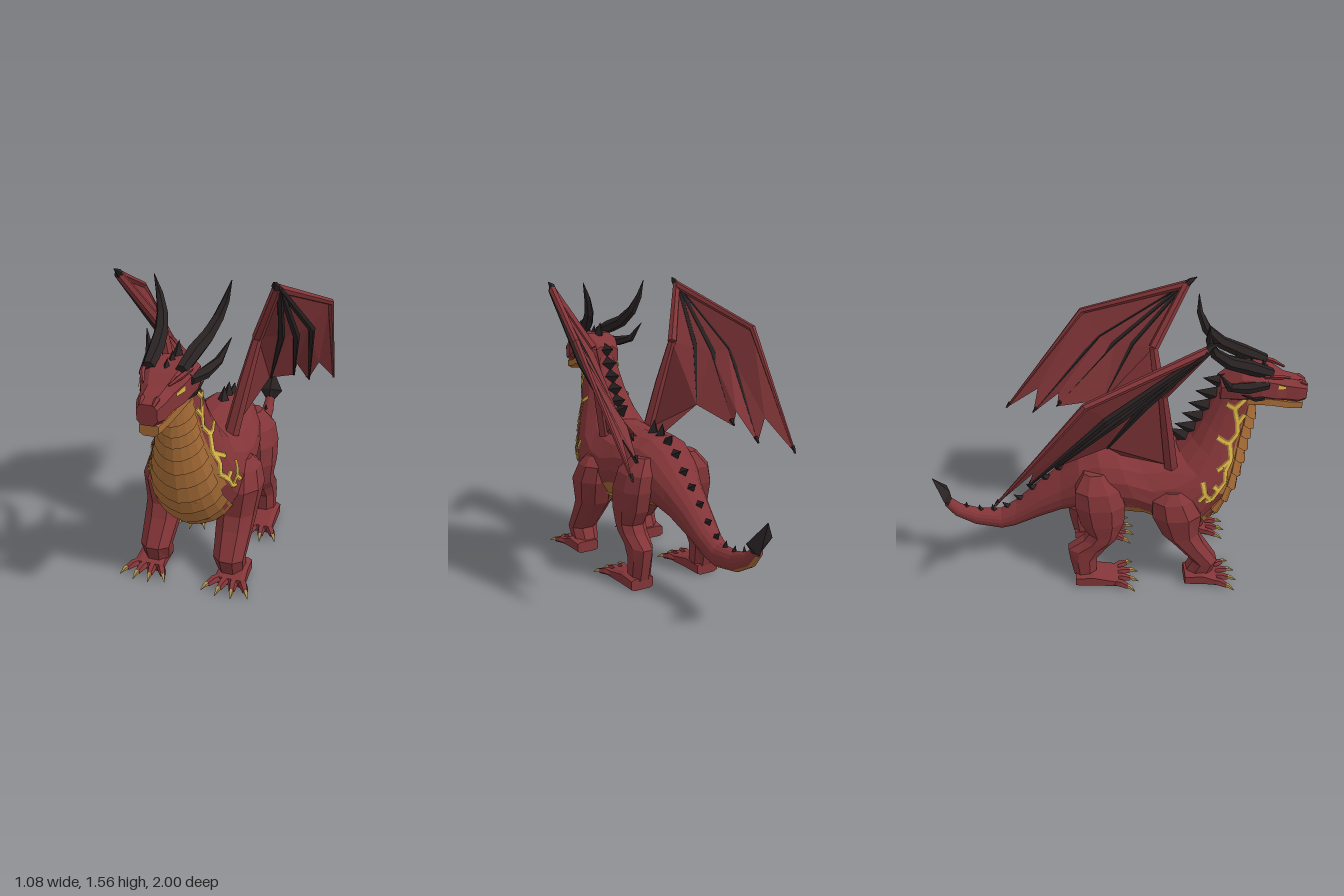
import * as THREE from 'three';

const mat = (name, color, side = THREE.FrontSide) => {
  const m = new THREE.MeshStandardMaterial({ color, side, flatShading: true });
  m.name = name;
  return m;
};
const V = (x, y, z) => new THREE.Vector3(x, y, z);
const lerp = THREE.MathUtils.lerp;

// Body sections from neck to tail: top z, top y, bottom z, bottom y, half width
const SECTIONS = [
  [0.56, 1.17, 0.74, 1.03, 0.09], [0.505, 1.055, 0.73, 0.92, 0.107], [0.455, 0.95, 0.71, 0.80, 0.13],
  [0.40, 0.85, 0.69, 0.65, 0.175], [0.33, 0.78, 0.65, 0.48, 0.22], [0.20, 0.77, 0.55, 0.33, 0.25],
  [0.10, 0.77, 0.40, 0.27, 0.25], [0.0, 0.78, 0.18, 0.37, 0.23], [-0.10, 0.78, 0.0, 0.38, 0.20],
  [-0.20, 0.73, -0.18, 0.40, 0.16], [-0.30, 0.63, -0.30, 0.37, 0.12], [-0.42, 0.53, -0.44, 0.31, 0.09],
  [-0.55, 0.41, -0.57, 0.25, 0.066], [-0.64, 0.355, -0.64, 0.235, 0.055], [-0.76, 0.36, -0.79, 0.265, 0.043],
  [-0.86, 0.395, -0.90, 0.33, 0.036], [-0.91, 0.44, -0.95, 0.40, 0.028],
];
const SIDES = 16;

// Point on the faceted body at section t and angle a (0 = spine), lifted by off
function bodyPoint(t, a, off = 0) {
  const i = Math.min(Math.floor(t), SECTIONS.length - 2);
  const [tz, ty, bz, by, w] = SECTIONS[i].map((v, k) => lerp(v, SECTIONS[i + 1][k], t - i));
  const step = (Math.PI * 2) / SIDES, k = Math.floor(a / step + 1e-6), f = a / step - k;
  const s = lerp(Math.sin(k * step), Math.sin((k + 1) * step), f);
  const c = lerp(Math.cos(k * step), Math.cos((k + 1) * step), f);
  const up = V(0, ty - by, tz - bz).multiplyScalar(0.5);
  return V(s * w, (ty + by) / 2, (tz + bz) / 2).addScaledVector(up, c)
    .addScaledVector(up.clone().normalize(), c * off).add(V(s * off, 0, 0));
}

// Surface point of the body flank seen at (z, y)
function flankPoint(z, y, off) {
  let best = [1, 3, 1.5];
  for (let pass = 0, r = [3, 1.2]; pass < 3; pass++, r = r.map(v => v / 7)) {
    const [, t0, a0] = best;
    for (let i = -12; i <= 12; i++) for (let j = -12; j <= 12; j++) {
      const t = Math.max(0, t0 + (i / 12) * r[0]), a = a0 + (j / 12) * r[1];
      const p = bodyPoint(t, a), d = Math.hypot(p.z - z, p.y - y);
      if (d < best[0]) best = [d, t, a];
    }
  }
  return bodyPoint(best[1], best[2], off);
}

// Closed, capped skin over rings of points, always facing outward
function loft(parent, name, rings, material, pick = () => 0) {
  const mats = [].concat(material), lists = mats.map(() => []), n = rings[0].length, last = rings.length - 1;
  for (let i = 0; i < last; i++) for (let k = 0; k < n; k++) {
    const a = rings[i][k], b = rings[i][(k + 1) % n], c = rings[i + 1][(k + 1) % n], d = rings[i + 1][k];
    lists[pick(i, k)].push([a, b, c], [a, c, d]);
  }
  for (let k = 1; k < n - 1; k++) {
    lists[0].push([rings[0][0], rings[0][k + 1], rings[0][k]], [rings[last][0], rings[last][k], rings[last][k + 1]]);
  }
  const volume = lists.flat().reduce((s, [a, b, c]) => s + a.dot(b.clone().cross(c)), 0);
  const geo = new THREE.BufferGeometry(), pos = [];
  lists.forEach((list, g) => {
    geo.addGroup(pos.length / 3, list.length * 3, g);
    for (const [a, b, c] of list) for (const p of volume < 0 ? [a, c, b] : [a, b, c]) pos.push(p.x, p.y, p.z);
  });
  return addMesh(parent, name, geo, pos, mats.length > 1 ? mats : mats[0]);
}
function addMesh(parent, name, geo, pos, material) {
  geo.setAttribute('position', new THREE.Float32BufferAttribute(pos, 3));
  geo.computeVertexNormals();
  const mesh = new THREE.Mesh(geo, material);
  mesh.name = name;
  parent.add(mesh);
  return mesh;
}

// Tapering limb, horn or bone along points
function taper(parent, name, pts, radii, material, sides = 6) {
  const rings = pts.map((p, i) => {
    const t = pts[Math.min(i + 1, pts.length - 1)].clone().sub(pts[Math.max(i - 1, 0)]).normalize();
    const u = t.clone().cross(V(1, 0, 0.01)).normalize(), v = t.clone().cross(u);
    return Array.from({ length: sides }, (_, k) => {
      const a = ((k + 0.5) / sides) * Math.PI * 2;
      return p.clone().addScaledVector(u, Math.cos(a) * radii[i]).addScaledVector(v, Math.sin(a) * radii[i]);
    });
  });
  return loft(parent, name, rings, material);
}

// Chamfered rectangle as eight 2D points
function octagon(u0, u1, v0, v1, c = 0.28) {
  const du = (u1 - u0) * c, dv = (v1 - v0) * c;
  return [[u0 + du, v0], [u1 - du, v0], [u1, v0 + dv], [u1, v1 - dv], [u1 - du, v1], [u0 + du, v1], [u0, v1 - dv], [u0, v0 + dv]];
}

export function createModel() {
  const dragon = new THREE.Group();
  dragon.name = 'dragon';
  const red = mat('red scales', 0x833538), skin = mat('wing skin', 0x7f3437, THREE.DoubleSide);
  const tan = mat('belly tan', 0xa56b36), black = mat('horn black', 0x292223), claw = mat('claw', 0xae9150);
  const glow = mat('glowing yellow', 0xdcb544, THREE.DoubleSide), rim = mat('crack rim', 0x9a7c38, THREE.DoubleSide);

  // Body, neck and tail in one skin with a tan underside
  const step = (Math.PI * 2) / SIDES;
  const rings = SECTIONS.map((_, i) => Array.from({ length: SIDES }, (_, k) => bodyPoint(i, k * step)));
  const wideBelly = i => i < 4 || (i > 4 && i < 8);
  loft(dragon, 'body', rings, [red, tan], (i, k) => (wideBelly(i) ? k >= 5 && k <= 10 : k >= 6 && k <= 9) ? 1 : 0);

  // Overlapping belly plates
  for (let i = 0; i < 13; i++) {
    const t0 = 0.15 + i * 0.5, t1 = t0 + 0.5, half = lerp(1.12, 0.88, i / 12);
    const plate = Array.from({ length: 9 }, (_, k) => {
      const f = k / 4 - 1, a = Math.PI + f * half, drop = 0.16 * (1 - f * f);
      return [bodyPoint(t0, a, 0.002), bodyPoint(t1 + drop, a, 0.025 - 0.015 * f * f), bodyPoint(t1 + drop, a, -0.01)];
    });
    loft(dragon, 'bellyPlate', plate, tan);
  }

  // Spikes along neck, back and tail
  function spike(p, along, L, h) {
    const t = along.clone().normalize(), n = V(0, -t.z, t.y);
    if (n.y < 0) n.negate();
    p = p.clone().addScaledVector(n, -0.01);
    const base = [t.clone().multiplyScalar(L / 2), V(L * 0.4, 0, 0), t.clone().multiplyScalar(-L / 2), V(-L * 0.4, 0, 0)];
    const tip = p.clone().addScaledVector(n, h).addScaledVector(t, L * 0.3);
    loft(dragon, 'spineSpike', [base.map(b => b.add(p)), base.map(() => tip)], black);
  }
  const spineSpike = (t, L, h) => spike(bodyPoint(t, 0), bodyPoint(t + 0.05, 0).sub(bodyPoint(t - 0.05, 0)), L, h);
  for (let i = 0; i < 6; i++) spineSpike(0.15 + i * 0.65, 0.095, 0.105);
  for (const [z, L] of [[0.77, 0.04], [0.71, 0.055], [0.64, 0.08]]) spike(V(0, 1.235, z), V(0, 0, -1), L, L);
  for (let i = 0, t = 6.9; i < 12; i++) {
    const z = 0.01 - i * 0.076;
    while (t < 15.8 && bodyPoint(t, 0).z > z) t += 0.02;
    spineSpike(t, lerp(0.085, 0.035, i / 11), lerp(0.078, 0.038, i / 11));
  }

  // Tail blade
  const blade = (x, d, y, z) => [V(x, y, z), V(0, y + d * 0.5, z + d), V(-x, y, z), V(0, y - d * 0.5, z - d)];
  loft(dragon, 'tailBlade', [blade(0.022, 0.02, 0.405, -0.925), blade(0.075, 0.026, 0.475, -0.94), blade(0.001, 0.001, 0.58, -1.0)], black);

  // Head and jaw: z, bottom, top, half width
  const headRing = ([z, y0, y1, w]) => octagon(-w, w, y0, y1, 0.22).map(([x, y]) => V(x, y, z));
  loft(dragon, 'head', [[0.995, 1.04, 1.135, 0.048], [0.95, 1.03, 1.16, 0.066], [0.88, 1.045, 1.178, 0.076], [0.82, 1.06, 1.215, 0.108],
    [0.74, 1.085, 1.24, 0.125], [0.64, 1.06, 1.24, 0.112], [0.54, 1.06, 1.17, 0.075]].map(headRing), red);
  loft(dragon, 'jaw', [[0.98, 0.985, 1.045, 0.045], [0.9, 0.995, 1.06, 0.058], [0.8, 1.025, 1.09, 0.08], [0.68, 1.04, 1.1, 0.085]].map(headRing), tan);

  // Wing key points (left side)
  const W = {
    root: [0.14, 0.72, 0.29], elbow: [0.25, 1.22, 0.22], wrist: [0.39, 1.52, 0.40],
    m1: [0.522, 1.32, -0.16], t1: [0.47, 0.74, -0.61], n1: [0.42, 0.89, -0.42],
    m2: [0.435, 1.2, -0.06], t2: [0.355, 0.77, -0.45], n2: [0.325, 0.91, -0.30],
    m3: [0.375, 1.18, 0.02], t3: [0.30, 0.84, -0.31], m4: [0.325, 1.2, 0.12], hem: [0.24, 0.91, -0.05], back: [0.09, 0.76, 0.03],
  };
  const PANELS = ['wrist m1 m2', 'm1 t1 n1', 'm1 n1 m2', 'm2 n1 t2', 'wrist m2 m3', 'm2 t2 n2', 'm2 n2 m3', 'm3 n2 t3',
    'wrist m3 m4', 'm3 t3 hem', 'm3 hem m4', 'wrist m4 elbow', 'elbow m4 hem', 'elbow hem root', 'root hem back'];
  // Glowing cracks on the neck as (z, y) lines
  const CRACKS = [
    [[0.65, 1.13], [0.665, 1.09], [0.615, 1.04], [0.63, 0.97], [0.635, 0.90], [0.595, 0.85], [0.605, 0.76], [0.575, 0.70], [0.58, 0.64], [0.54, 0.60], [0.505, 0.545], [0.47, 0.585], [0.435, 0.55]],
    [[0.615, 1.04], [0.575, 1.06]], [[0.63, 0.95], [0.665, 1.0]], [[0.595, 0.85], [0.57, 0.86], [0.53, 0.885]],
    [[0.605, 0.76], [0.56, 0.73], [0.53, 0.715]], [[0.47, 0.585], [0.455, 0.66]], [[0.54, 0.60], [0.515, 0.63]], [[0.505, 0.545], [0.47, 0.54]],
  ];
  // Legs: y, z back, z front, x inner, x outer
  const FRONT = [[0.61, 0.25, 0.35, 0.16, 0.25], [0.56, 0.19, 0.40, 0.13, 0.29], [0.47, 0.19, 0.45, 0.12, 0.313], [0.33, 0.25, 0.445, 0.10, 0.292],
    [0.26, 0.315, 0.475, 0.105, 0.288], [0.13, 0.425, 0.56, 0.122, 0.278], [0.05, 0.385, 0.535, 0.135, 0.27]];
  const HIND = [[0.69, -0.17, -0.05, 0.08, 0.18], [0.61, -0.22, 0.02, 0.09, 0.25], [0.52, -0.22, 0.045, 0.1, 0.27], [0.41, -0.195, 0.04, 0.1, 0.27],
    [0.33, -0.15, 0.01, 0.115, 0.26], [0.285, -0.18, -0.005, 0.12, 0.257], [0.225, -0.265, -0.06, 0.13, 0.25], [0.16, -0.257, -0.11, 0.137, 0.25], [0.05, -0.235, -0.115, 0.14, 0.25]];

  for (const s of [1, -1]) {
    const side = s > 0 ? 'left' : 'right';
    const group = new THREE.Group();
    group.name = side + 'Side';
    dragon.add(group);
    const P = ([x, y, z]) => V(s * x, y, z);
    const limb = (name, pts, radii, m, sides) => taper(group, side + name, pts.map(P), radii, m, sides);

    // Horns and cheek spikes
    limb('Horn', [[0.078, 1.225, 0.79], [0.09, 1.27, 0.67], [0.112, 1.312, 0.56], [0.138, 1.38, 0.48], [0.164, 1.46, 0.445], [0.19, 1.55, 0.44]], [0.03, 0.038, 0.034, 0.027, 0.018, 0.002], black);
    limb('LowerHorn', [[0.11, 1.18, 0.77], [0.138, 1.178, 0.66], [0.17, 1.205, 0.56], [0.21, 1.3, 0.50]], [0.024, 0.03, 0.022, 0.002], black, 5);
    limb('CheekSpike', [[0.09, 1.095, 0.76], [0.108, 1.10, 0.71], [0.125, 1.13, 0.64]], [0.016, 0.016, 0.002], black, 5);
    // Brow, eye and nostril
    limb('Brow', [[0.06, 1.19, 0.89], [0.09, 1.212, 0.83], [0.11, 1.225, 0.75]], [0.006, 0.013, 0.01], red, 5);
    const eye = [[0.087, 1.136, 0.872], [0.087, 1.152, 0.872], [0.112, 1.177, 0.825], [0.112, 1.148, 0.825]].map(P);
    addMesh(group, side + 'Eye', new THREE.BufferGeometry(), [0, 1, 2, 0, 2, 3].flatMap(i => eye[i].toArray()), glow);
    limb('Nostril', [[0.03, 1.13, 0.995], [0.035, 1.15, 0.96], [0.03, 1.155, 0.92]], [0.008, 0.014, 0.004], red, 5);

    // Wing arm, finger bones on the outer face, claws and skin
    limb('WingArm', [W.root, [0.195, 0.98, 0.255], W.elbow], [0.04, 0.035, 0.025], red);
    limb('WingForearm', [W.elbow, W.wrist], [0.028, 0.022], red);
    limb('LeadingFinger', [W.wrist, W.m1, W.t1], [0.022, 0.018, 0.006], red);
    const outer = ([x, y, z], d) => [x + d, y, z];
    for (const [name, mid, tip] of [['MiddleFinger', W.m2, W.t2], ['InnerFinger', W.m3, W.t3], ['HemFinger', W.m4, W.hem]]) {
      limb(name, [outer(W.wrist, 0.012), outer(mid, 0.017), outer(tip, 0.006)], [0.014, 0.019, 0.005], black, 5);
    }
    limb('WingClaw', [[0.39, 1.51, 0.39], [0.385, 1.54, 0.42], [0.39, 1.56, 0.455]], [0.022, 0.016, 0.002], black, 5);
    for (const [x, y, z] of [W.t1, W.t2, W.t3]) limb('FingerClaw', [[x, y + 0.03, z + 0.02], [x, y, z - 0.005]], [0.012, 0.002], black, 4);
    addMesh(group, side + 'WingSkin', new THREE.BufferGeometry(), PANELS.flatMap(t => t.split(' ').flatMap(k => P(W[k]).toArray())), skin);

    // Legs with feet, toes and claws
    for (const [name, rows, back, front] of [['FrontLeg', FRONT, 0.38, 0.56], ['HindLeg', HIND, -0.23, 0.01]]) {
      loft(group, side + name, rows.map(([y, z0, z1, x0, x1]) => octagon(x0, x1, z0, z1).map(([x, z]) => P([x, y, z]))), red);
      const cx = name === 'FrontLeg' ? 0.222 : 0.205;
      const foot = [[back, 0.065, 0.065], [back + 0.1, 0.073, 0.075], [front, 0.08, 0.04]];
      loft(group, side + name + 'Foot', foot.map(([z, w, h]) => octagon(cx - w, cx + w, 0, h, 0.15).map(([x, y]) => P([x, y, z]))), red);
      for (const k of [-1.5, -0.5, 0.5, 1.5]) {
        const at = (f, y) => [cx + k * (0.04 + 0.042 * f), y, front - 0.02 + f * (0.145 - 0.025 * Math.abs(k))];
        limb(name + 'Toe', [at(0, 0.022), at(0.35, 0.026), at(0.65, 0.019)], [0.021, 0.022, 0.015], red, 5);
        limb(name + 'Claw', [at(0.55, 0.022), at(0.75, 0.022), at(1, 0.004)], [0.014, 0.012, 0.002], claw, 4);
      }
    }

    // Glowing cracks laid on the neck
    for (const [name, width, off, m] of [['CrackRim', 0.014, 0.006, rim], ['Crack', 0.007, 0.01, glow]]) {
      const pos = [];
      for (const line of CRACKS) for (let i = 0; i < line.length - 1; i++) {
        const [a, b] = [line[i], line[i + 1]], len = Math.hypot(b[0] - a[0], b[1] - a[1]);
        const nz = (-(b[1] - a[1]) / len) * width, ny = ((b[0] - a[0]) / len) * width;
        const pair = f => [1, -1].map(e => {
          const p = flankPoint(lerp(a[0], b[0], f) + e * nz, lerp(a[1], b[1], f) + e * ny, off);
          return [s * p.x, p.y, p.z];
        });
        for (let k = 0; k < 4; k++) {
          const [p, q] = pair(k / 4), [u, v] = pair((k + 1) / 4);
          pos.push(...(s > 0 ? [p, u, q, q, u, v] : [p, q, u, q, v, u]).flat());
        }
      }
      addMesh(group, side + name, new THREE.BufferGeometry(), pos, m);
    }
  }
  return dragon;
}
